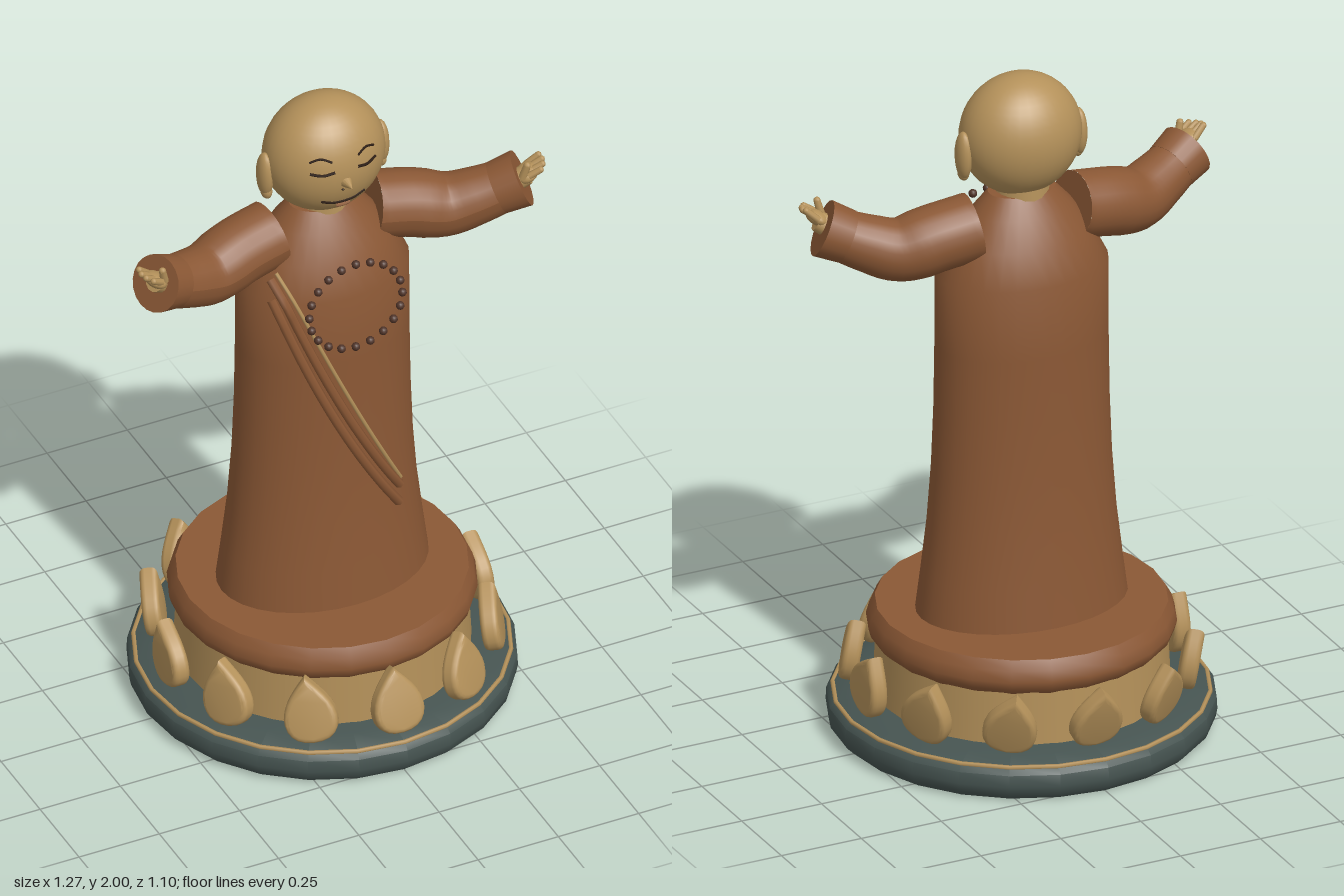
import * as THREE from 'three';
import { toCreasedNormals } from 'three/addons/utils/BufferGeometryUtils.js';

const mat = (name, color) => {
  const m = new THREE.MeshStandardMaterial({ color });
  m.name = name;
  return m;
};
const V = (x, y, z) => new THREE.Vector3(x, y, z);

// Robe half-width by height, flattened front to back
const ROBE = [[0.315, 0.37], [0.298, 0.5], [0.28, 0.65], [0.267, 0.82], [0.26, 1.0],
  [0.257, 1.2], [0.256, 1.42], [0.205, 1.52], [0.15, 1.6], [0.1, 1.655]];
const DEPTH = 0.72;
function robeZ(x, y) {
  const i = Math.max(1, ROBE.findIndex(p => p[1] >= y));
  const [a, b] = [ROBE[i - 1], ROBE[i]];
  const r = a[0] + (b[0] - a[0]) * (y - a[1]) / (b[1] - a[1]);
  return DEPTH * Math.sqrt(Math.max(0, r * r - x * x));
}

// Head ellipsoid
const HEAD = { y: 1.822, z: 0.008, r: 0.179, d: 0.15 };
const headZ = (x, y) => HEAD.z + HEAD.d * Math.sqrt(1 - (x / HEAD.r) ** 2 - ((y - HEAD.y) / HEAD.r) ** 2);

export function createModel() {
  const root = new THREE.Group();
  root.name = 'statue';
  const brown = mat('robe brown', 0x8b5835);
  const gold = mat('gold', 0xb4915a);
  const green = mat('dark green', 0x465451);
  const dark = mat('dark line', 0x2e1f16);
  const beadMat = mat('bead brown', 0x4e3328);
  const lipMat = mat('lip', 0x9c6a48);

  const add = (name, geo, m, parent = root, pos = [0, 0, 0]) => {
    const mesh = new THREE.Mesh(geo, m);
    mesh.name = name;
    mesh.position.set(...pos);
    parent.add(mesh);
    return mesh;
  };
  const group = (name, parent = root) => {
    const g = new THREE.Group();
    g.name = name;
    parent.add(g);
    return g;
  };
  const lathe = (pts, seg) =>
    toCreasedNormals(new THREE.LatheGeometry(pts.map(p => new THREE.Vector2(...p)), seg), 0.7);
  const tube = (pts, r, seg = 12, rad = 6) =>
    new THREE.TubeGeometry(new THREE.CatmullRomCurve3(pts), seg, r, rad, false);
  const ball = (name, m, parent, pos, scale, w = 16, h = 12) => {
    const b = add(name, new THREE.SphereGeometry(1, w, h), m, parent, pos);
    b.scale.set(...scale);
    return b;
  };
  // Tapered cylinder from a to b
  const limb = (name, m, parent, a, b, ra, rb, seg = 16) => {
    const d = b.clone().sub(a);
    const mesh = add(name, new THREE.CylinderGeometry(rb, ra, d.length(), seg), m, parent);
    mesh.position.copy(a).addScaledVector(d, 0.5);
    mesh.quaternion.setFromUnitVectors(V(0, 1, 0), d.normalize());
    return mesh;
  };

  // Pedestal
  const pedestal = group('pedestal');
  add('base', lathe([[0, 0.005], [0.525, 0.005], [0.545, 0.025], [0.55, 0.05], [0.548, 0.085],
    [0.53, 0.105], [0.46, 0.115], [0.4, 0.125], [0, 0.125]], 24), green, pedestal);
  const trim = add('baseTrim', new THREE.TorusGeometry(0.53, 0.007, 6, 24), gold, pedestal, [0, 0.103, 0]);
  trim.rotation.x = Math.PI / 2;
  add('drum', new THREE.CylinderGeometry(0.41, 0.42, 0.19, 32), gold, pedestal, [0, 0.2, 0]);
  add('cushion', lathe([[0, 0.275], [0.41, 0.275], [0.43, 0.295], [0.437, 0.32], [0.428, 0.352],
    [0.412, 0.38], [0, 0.38]], 24), brown, pedestal);

  // Twelve lotus petals, all leaning the same way
  const leaf = new THREE.Shape();
  leaf.moveTo(0, -0.078);
  leaf.bezierCurveTo(0.05, -0.078, 0.065, -0.05, 0.062, -0.015);
  leaf.bezierCurveTo(0.058, 0.025, 0.02, 0.06, 0, 0.085);
  leaf.bezierCurveTo(-0.02, 0.06, -0.058, 0.025, -0.062, -0.015);
  leaf.bezierCurveTo(-0.065, -0.05, -0.05, -0.078, 0, -0.078);
  const petalGeo = toCreasedNormals(new THREE.ExtrudeGeometry(leaf, {
    depth: 0.02, bevelEnabled: true, bevelThickness: 0.016, bevelSize: 0.014, bevelSegments: 3, curveSegments: 6,
  }).translate(0, 0, -0.01), 0.7);
  const petals = group('petals', pedestal);
  for (let i = 0; i < 12; i++) {
    const a = i * Math.PI / 6;
    const p = add('petal', petalGeo, gold, petals, [0.475 * Math.sin(a), 0.21, 0.475 * Math.cos(a)]);
    p.rotation.set(-0.35, a, 0);
  }

  // Robe
  const robe = add('robe', lathe([...ROBE, [0, 1.665]], 32), brown);
  robe.scale.z = DEPTH;

  // Sash bands laid diagonally over the robe
  const sash = group('sash');
  const band = (name, m, r, [x0, y0], [x1, y1], [x2, y2]) => {
    const c = new THREE.QuadraticBezierCurve(new THREE.Vector2(x0, y0), new THREE.Vector2(x1, y1), new THREE.Vector2(x2, y2));
    const pts = c.getPoints(14).map(p => V(p.x, p.y, robeZ(p.x, p.y) + 0.006));
    add(name, tube(pts, r, 28), m, sash);
  };
  band('lowerBand', brown, 0.014, [-0.21, 1.43], [-0.08, 1.0], [0.155, 0.655]);
  band('upperBand', brown, 0.014, [-0.2, 1.48], [-0.05, 1.03], [0.16, 0.71]);
  band('goldEdge', gold, 0.006, [-0.185, 1.5], [-0.02, 1.07], [0.165, 0.73]);

  // Bead necklace
  const necklace = group('necklace');
  const beadGeo = new THREE.SphereGeometry(0.0125, 10, 8);
  for (let i = 0; i < 20; i++) {
    const a = i * Math.PI / 10;
    add('bead', beadGeo, beadMat, necklace, [0.145 * Math.sin(a), 1.415 + 0.143 * Math.cos(a), 0.216]);
  }

  // Head
  const head = group('head');
  add('neck', new THREE.CylinderGeometry(0.075, 0.082, 0.09, 20), gold, head, [0, 1.66, 0]);
  ball('skull', gold, head, [0, HEAD.y, HEAD.z], [HEAD.r, HEAD.r, HEAD.d], 32, 24);
  const nose = add('nose', new THREE.ConeGeometry(0.024, 0.055, 12), gold, head, [0, 1.805, 0.166]);
  nose.rotation.x = Math.PI / 2;
  const faceLine = (name, m, r, pts) =>
    add(name, tube(pts.map(([x, y]) => V(x, y, headZ(x, y) + 0.001)), r, 12, 5), m, head);
  for (const s of [1, -1]) {
    ball('ear', gold, head, [s * 0.18, 1.79, 0.003], [0.023, 0.072, 0.034]);
    ball('earLobe', gold, head, [s * 0.178, 1.735, 0.008], [0.016, 0.024, 0.022]);
    faceLine('eyebrow', dark, 0.0035, [[s * 0.04, 1.88], [s * 0.07, 1.892], [s * 0.1, 1.882]]);
    faceLine('eyelid', dark, 0.0045, [[s * 0.035, 1.848], [s * 0.068, 1.842], [s * 0.102, 1.848]]);
    ball('nostril', dark, head, [s * 0.012, 1.785, 0.158], [0.004, 0.003, 0.004], 8, 6);
  }
  faceLine('mouth', dark, 0.004, [[-0.068, 1.742], [-0.035, 1.73], [0, 1.728], [0.035, 1.73], [0.068, 1.742]]);
  faceLine('lowerLip', lipMat, 0.008, [[-0.022, 1.716], [0, 1.713], [0.022, 1.716]]);

  // Arms
  for (const s of [1, -1]) {
    const arm = group(s > 0 ? 'leftArm' : 'rightArm');
    const P = (x, y, z) => V(s * x, y, z);

    // Sleeve: a tube whose rings narrow toward the cuff
    const path = new THREE.CatmullRomCurve3([P(0.155, 1.57, -0.008), P(0.26, 1.552, 0.005),
      P(0.37, 1.527, 0.03), P(0.45, 1.55, 0.06), P(0.53, 1.583, 0.09)]);
    const N = 20, R = 20;
    const sleeve = new THREE.TubeGeometry(path, N, 0.098, R, false);
    const pos = sleeve.attributes.position;
    const v = V(0, 0, 0);
    for (let i = 0; i <= N; i++) {
      const c = path.getPointAt(i / N);
      const k = 1 - 0.25 * Math.max(0, i / N - 0.4) / 0.6;
      for (let j = 0; j <= R; j++) {
        const n = i * (R + 1) + j;
        v.fromBufferAttribute(pos, n).sub(c).multiplyScalar(k).add(c);
        pos.setXYZ(n, v.x, v.y, v.z);
      }
    }
    sleeve.computeVertexNormals();
    add('sleeve', sleeve, brown, arm);
    const cap = add('sleeveEnd', new THREE.CircleGeometry(0.098, R), brown, arm);
    cap.position.copy(path.getPointAt(0));
    cap.quaternion.setFromUnitVectors(V(0, 0, 1), path.getTangentAt(0).negate());
    limb('cuff', brown, arm, P(0.505, 1.573, 0.081), P(0.57, 1.603, 0.106), 0.077, 0.083, 20);

    // Open hand, palm up
    const hand = group('hand', arm);
    limb('wrist', gold, hand, P(0.53, 1.59, 0.1), P(0.58, 1.622, 0.12), 0.034, 0.03, 12);
    const palm = ball('palm', gold, hand, [s * 0.578, 1.63, 0.122], [0.036, 0.021, 0.037]);
    palm.rotation.z = s * 0.55;
    for (let i = 0; i < 4; i++) {
      const o = (i - 1.5) * 0.018;
      const reach = i === 0 || i === 3 ? 0.612 : 0.62;
      const tip = P(reach - o * 0.35, 1.662 - o * 0.2, 0.133 + o);
      limb('finger', gold, hand, P(0.58 - o * 0.3, 1.637, 0.122 + o), tip, 0.0105, 0.0095, 8);
      ball('fingertip', gold, hand, tip.toArray(), [0.0095, 0.0095, 0.0095], 8, 6);
    }
    const thumb = P(0.568, 1.672, 0.145);
    limb('thumb', gold, hand, P(0.558, 1.63, 0.138), thumb, 0.0125, 0.0105, 8);
    ball('thumbTip', gold, hand, thumb.toArray(), [0.0105, 0.0105, 0.0105], 8, 6);
  }
  return root;
}
